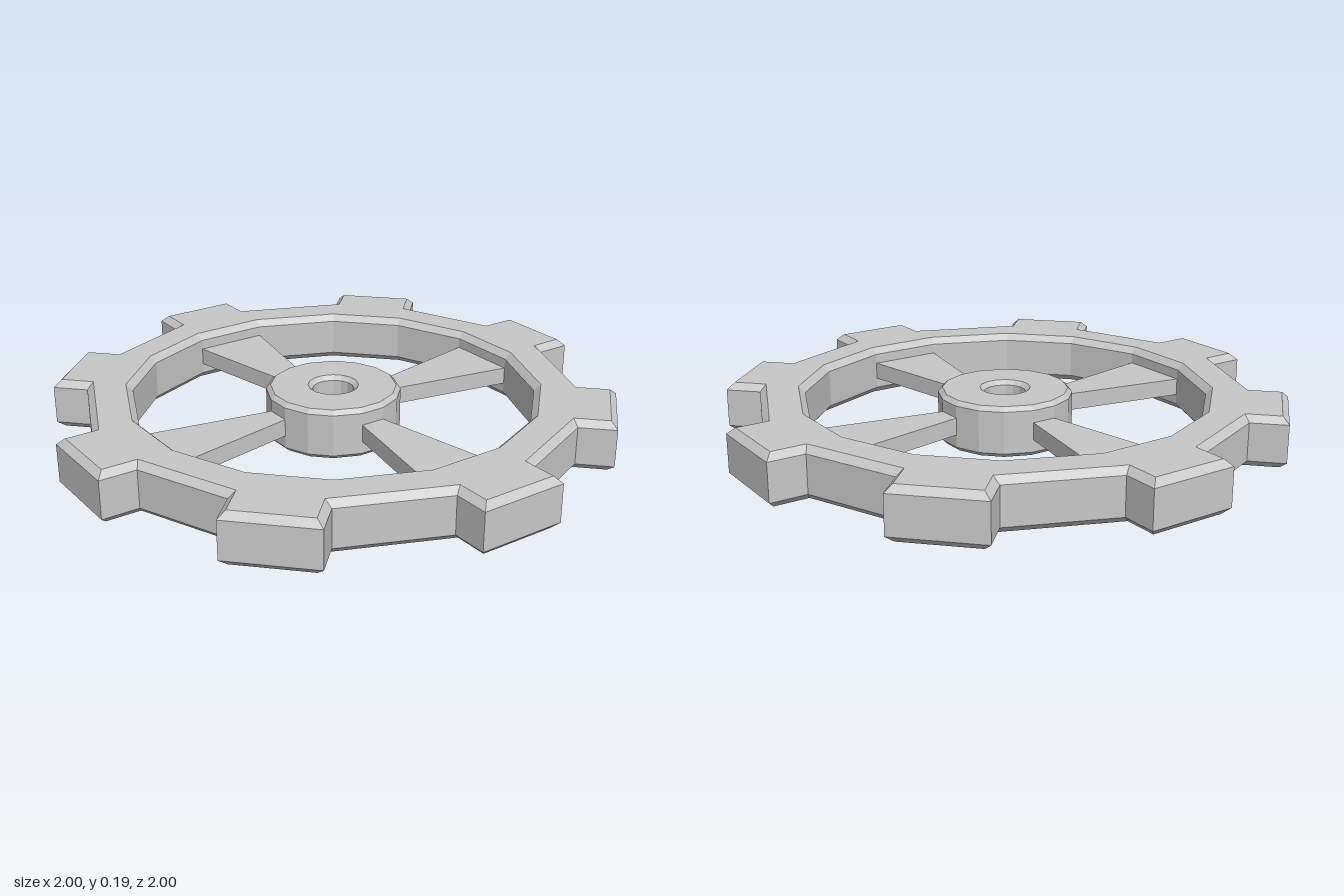
import * as THREE from 'three';

const HEIGHT = 0.187;

// Repeats one eighth of an outline: [x, y] points clockwise from the top, mirrored across
// the diagonal, then turned four times.
function eightfold(octant) {
  const quarter = [...octant, ...octant.map(([x, y]) => [y, x]).reverse()];
  const points = [];
  for (let k = 0; k < 4; k++) {
    for (const [x, y] of quarter) {
      points.push(new THREE.Vector2(x, y).rotateAround(new THREE.Vector2(), -k * Math.PI / 2));
    }
  }
  return points;
}

// Sixteen-sided polygon matching the tooth spacing
const SIDES = [[0.157, 0.717], [0.408, 0.611]];
const ringOutline = (scale) => eightfold(SIDES.map(([x, y]) => [x * scale, y * scale]));

// Lying plate with a hole and chamfered edges, standing on y = 0
function chamferedPlate(outline, hole, bevel) {
  const shape = new THREE.Shape(outline);
  shape.holes.push(new THREE.Path(hole.reverse())); // opposite winding, so the bore faces inward
  const geometry = new THREE.ExtrudeGeometry(shape, {
    depth: HEIGHT - 2 * bevel,
    bevelEnabled: true,
    bevelThickness: bevel,
    bevelSize: bevel,
    bevelOffset: -bevel,
    bevelSegments: 1,
  });
  return geometry.translate(0, 0, bevel).rotateX(-Math.PI / 2);
}

export function createModel() {
  const metal = new THREE.MeshStandardMaterial({ color: 0xc8c8c8 });
  metal.name = 'grey metal';

  const group = new THREE.Group();
  group.name = 'gearWheel';
  const add = (name, geometry) => {
    const mesh = new THREE.Mesh(geometry, metal);
    mesh.name = name;
    group.add(mesh);
    return mesh;
  };

  // Toothed rim: valley corner, two tooth tip corners, next valley corner
  const teeth = eightfold([[0.197, 0.88], [0.247, 1.0], [0.547, 0.875], [0.495, 0.75]]);
  add('toothedRim', chamferedPlate(teeth, ringOutline(1), 0.024));

  // Hub with axle hole
  add('hub', chamferedPlate(ringOutline(0.335), ringOutline(0.104), 0.016));

  // Four tapering spokes, each from one hub facet to one rim facet
  const spokeShape = new THREE.Shape(
    [[-0.157, 0.717], [-0.408, 0.611], [-0.136, 0.204], [-0.052, 0.239]].map((p) => new THREE.Vector2(...p)),
  );
  const spokeGeometry = new THREE.ExtrudeGeometry(spokeShape, { depth: 0.064, bevelEnabled: false })
    .translate(0, 0, 0.062)
    .rotateX(-Math.PI / 2);
  for (let k = 0; k < 4; k++) add('spoke', spokeGeometry).rotation.y = k * Math.PI / 2;

  return group;
}
